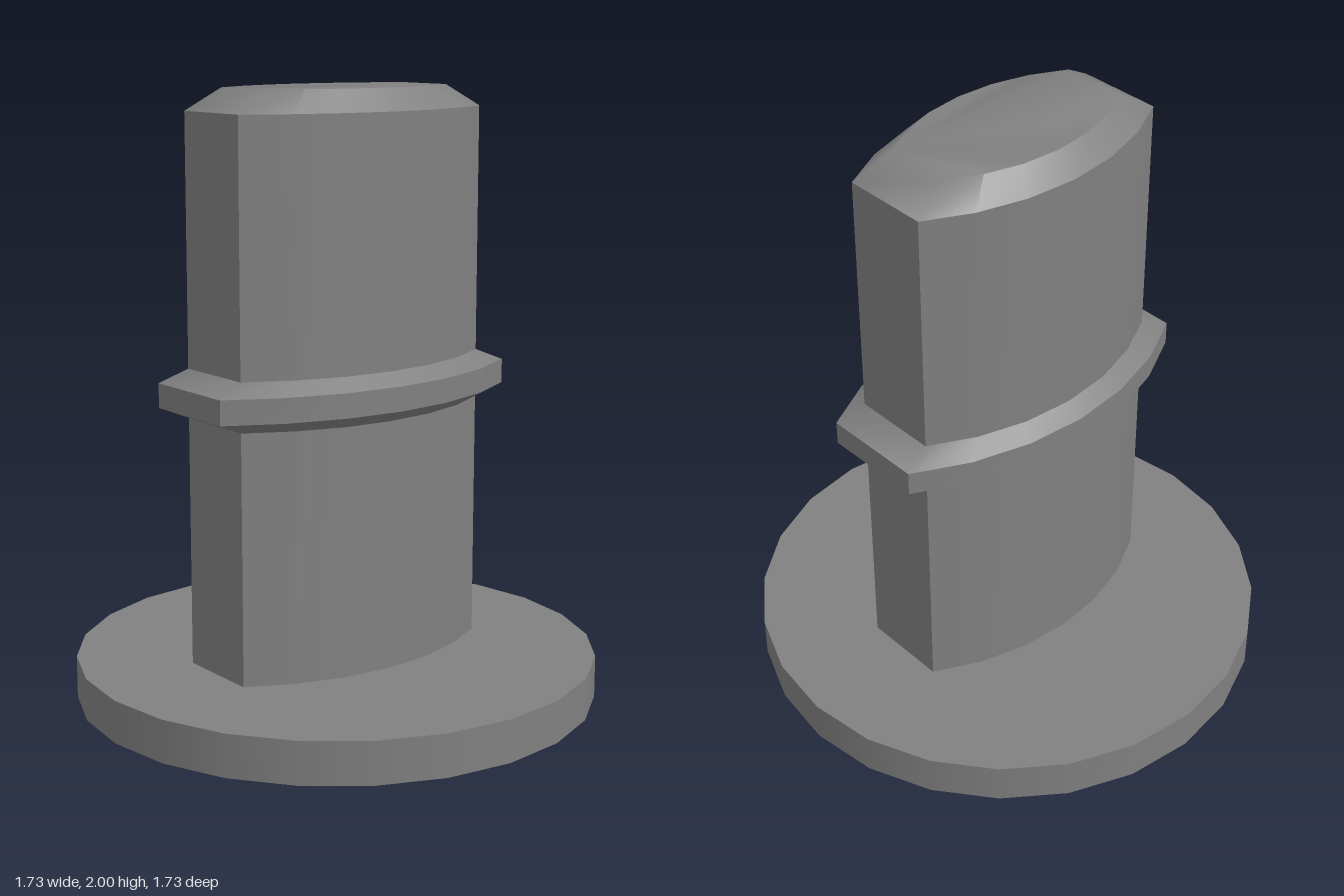
import * as THREE from 'three';
import { toCreasedNormals } from 'three/addons/utils/BufferGeometryUtils.js';

const ARC_SEGMENTS = 6;

// Outline with bowed front and back and flat ends, counterclockwise from above
function outline(halfWidth, cornerZ, midZ) {
  const sag = midZ - cornerZ;
  const radius = (halfWidth ** 2 + sag ** 2) / (2 * sag);
  const sweep = Math.asin(halfWidth / radius);
  const points = [];
  for (const side of [1, -1]) {
    for (let i = 0; i <= ARC_SEGMENTS; i++) {
      const a = (-1 + (2 * i) / ARC_SEGMENTS) * sweep;
      points.push([side * radius * Math.sin(a), side * (midZ - radius * (1 - Math.cos(a)))]);
    }
  }
  return points;
}

// Skin a stack of [y, halfWidth, cornerZ, midZ] sections, optionally closing the top
function loft(sections, capTop) {
  const positions = [];
  const index = [];
  const n = 2 * (ARC_SEGMENTS + 1);
  for (const [y, w, c, m] of sections) {
    for (const [x, z] of outline(w, c, m)) positions.push(x, y, z);
  }
  for (let s = 0; s < sections.length - 1; s++) {
    for (let i = 0; i < n; i++) {
      const a = s * n + i;
      const b = s * n + ((i + 1) % n);
      index.push(a, b, b + n, a, b + n, a + n);
    }
  }
  if (capTop) {
    // Fan from the front corner on the +x side
    const top = (sections.length - 1) * n;
    const corner = (i) => top + ((ARC_SEGMENTS + i) % n);
    for (let i = 1; i < n - 1; i++) index.push(corner(0), corner(i), corner(i + 1));
  }
  const geometry = new THREE.BufferGeometry();
  geometry.setAttribute('position', new THREE.Float32BufferAttribute(positions, 3));
  geometry.setIndex(index);
  return toCreasedNormals(geometry.toNonIndexed(), THREE.MathUtils.degToRad(42));
}

export function createModel() {
  const group = new THREE.Group();
  const material = new THREE.MeshStandardMaterial({ color: 0x808080 });
  const add = (name, geometry, y = 0) => {
    const mesh = new THREE.Mesh(geometry, material);
    mesh.name = name;
    mesh.position.y = y;
    group.add(mesh);
  };

  // Round base plate
  add('basePlate', new THREE.CylinderGeometry(0.865, 0.865, 0.14, 24), 0.07);

  // Upright post with a chamfered top
  const body = [0.48, 0.145, 0.285];
  add('post', loft([[0.14, ...body], [1.93, ...body], [2, 0.365, 0.11, 0.217]], true));

  // Bevelled collar around the middle of the post
  const rim = [0.575, 0.172, 0.34];
  add('collar', loft([[0.96, ...body], [1, ...rim], [1.08, ...rim], [1.12, ...body]], false));

  return group;
}
